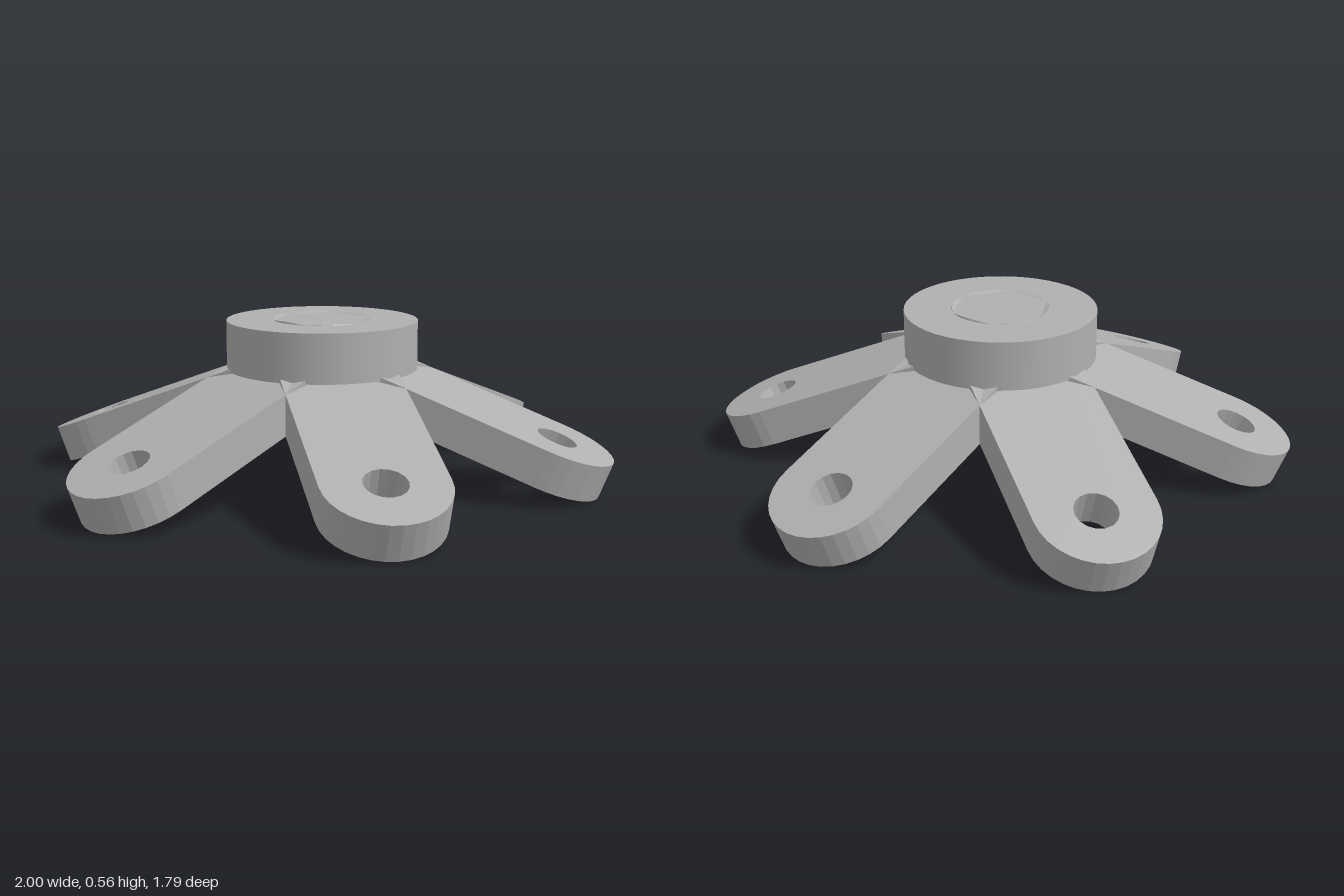
import * as THREE from 'three';

const ARMS = 6;
const TILT = THREE.MathUtils.degToRad(20.7); // downward slope of each arm
const THICK = 0.128;
const HALF_WIDTH = 0.2;
const REACH = 0.845; // distance between the two rounded end centres
const PIVOT_Y = 0.429;

// Flat slotted bar, rounded at both ends, with a bolt hole near the tip
function armGeometry() {
  const shape = new THREE.Shape();
  shape.absarc(REACH, 0, HALF_WIDTH, -Math.PI / 2, Math.PI / 2, false);
  shape.absarc(0, 0, HALF_WIDTH, Math.PI / 2, Math.PI * 1.5, false);
  shape.closePath();
  const hole = new THREE.Path();
  hole.absarc(REACH, 0, 0.07, 0, Math.PI * 2, true);
  shape.holes.push(hole);
  const geo = new THREE.ExtrudeGeometry(shape, { depth: THICK, bevelEnabled: false, curveSegments: 8 });
  geo.translate(0, 0, -THICK / 2);
  geo.rotateX(-Math.PI / 2);
  geo.rotateZ(-TILT);
  return geo;
}

export function createModel() {
  const model = new THREE.Group();
  model.name = 'sixArmBracket';
  const grey = new THREE.MeshStandardMaterial({ color: 0xb0b0b0 });
  grey.name = 'plain grey';

  // Central disc
  const hubBottom = 0.387, hubTop = 0.553;
  const hub = new THREE.Mesh(new THREE.CylinderGeometry(0.328, 0.328, hubTop - hubBottom, 48), grey);
  hub.name = 'hub';
  hub.position.y = (hubTop + hubBottom) / 2;
  model.add(hub);

  // Arms spread evenly around the hub
  const geo = armGeometry();
  for (let i = 0; i < ARMS; i++) {
    const arm = new THREE.Mesh(geo, grey);
    arm.name = 'arm' + (i + 1);
    arm.position.y = PIVOT_Y;
    arm.rotation.y = (i * Math.PI * 2) / ARMS;
    model.add(arm);
  }
  return model;
}
